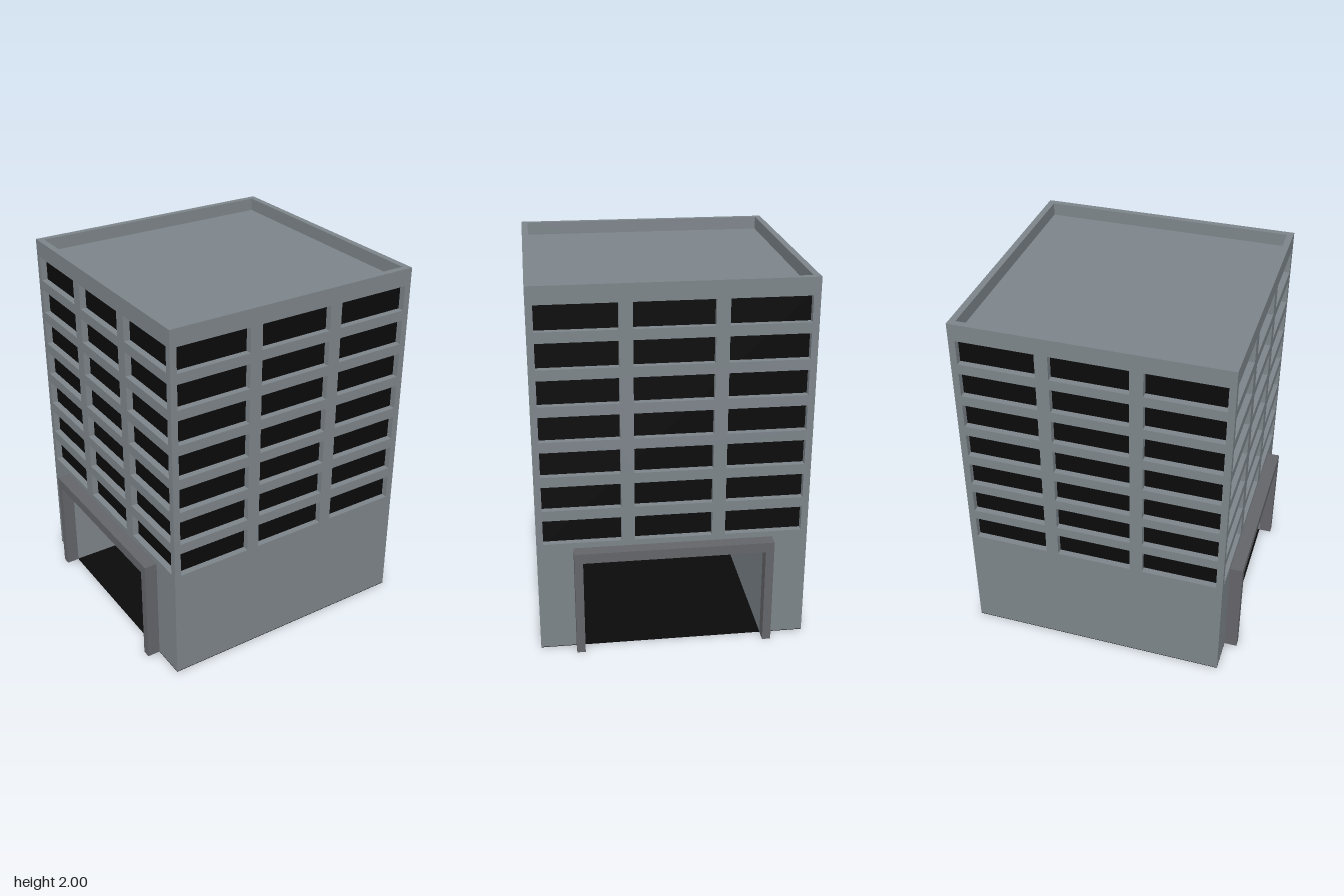
import * as THREE from 'three';

const HALF = 0.715;   // half width of the tower
const INNER = 0.68;   // inside face of the outer walls
const BASE_TOP = 0.6;
const TOP = 2;

const wallMat = new THREE.MeshStandardMaterial({ color: 0x7d858a });
const frameMat = new THREE.MeshStandardMaterial({ color: 0x646569 });
const darkMat = new THREE.MeshStandardMaterial({ color: 0x0a0a0a });

function add(parent, name, geometry, material, x = 0, y = 0, z = 0) {
  const mesh = new THREE.Mesh(geometry, material);
  mesh.name = name;
  mesh.position.set(x, y, z);
  parent.add(mesh);
  return mesh;
}

function extrude(shape, depth) {
  return new THREE.ExtrudeGeometry(shape, { depth, bevelEnabled: false });
}

// Upper wall with seven rows of three windows
function facadeShape(halfWidth) {
  const shape = new THREE.Shape([
    new THREE.Vector2(-halfWidth, BASE_TOP), new THREE.Vector2(halfWidth, BASE_TOP),
    new THREE.Vector2(halfWidth, TOP), new THREE.Vector2(-halfWidth, TOP),
  ]);
  for (let row = 0; row < 7; row++) {
    const y0 = 0.626 + row * 0.191, y1 = y0 + 0.135;
    for (const [x0, x1] of [[-0.679, -0.272], [-0.203, 0.203], [0.272, 0.679]]) {
      shape.holes.push(new THREE.Path([
        new THREE.Vector2(x0, y0), new THREE.Vector2(x0, y1),
        new THREE.Vector2(x1, y1), new THREE.Vector2(x1, y0),
      ]));
    }
  }
  return shape;
}

// Upside-down U outline standing on y = bottom
function archShape(outer, outerTop, inner, innerTop, bottom = 0) {
  return new THREE.Shape([
    [-outer, bottom], [-inner, bottom], [-inner, innerTop], [inner, innerTop],
    [inner, bottom], [outer, bottom], [outer, outerTop], [-outer, outerTop],
  ].map(([x, y]) => new THREE.Vector2(x, y)));
}

export function createModel() {
  const model = new THREE.Group();
  model.name = 'officeTower';

  // Ground floor with a passage running from side to side
  const base = add(model, 'groundFloor',
    extrude(archShape(HALF, BASE_TOP, 0.48, 0.54, 0.003), 2 * HALF), wallMat, -HALF);
  base.rotation.y = Math.PI / 2;
  add(model, 'passageFloor', new THREE.BoxGeometry(2 * HALF, 0.003, 2 * HALF), darkMat, 0, 0.0015, 0);

  // Four window walls; the side walls fit between the front and back ones
  const names = ['frontWall', 'leftWall', 'backWall', 'rightWall'];
  names.forEach((name, i) => {
    const wall = new THREE.Group();
    wall.name = name;
    wall.rotation.y = i * Math.PI / 2;
    add(wall, name + 'Panel', extrude(facadeShape(i % 2 ? INNER : HALF), HALF - INNER), wallMat, 0, 0, INNER);
    model.add(wall);
  });

  // Dark glazing core behind the openings, and the sunken roof
  add(model, 'glazing', new THREE.BoxGeometry(2 * INNER, 1.31, 2 * INNER), darkMat, 0, 1.255, 0);
  add(model, 'roof', new THREE.BoxGeometry(2 * INNER, 0.02, 2 * INNER), wallMat, 0, 1.92, 0);

  // Portal frames around both passage mouths
  for (const [name, x] of [['rightPortal', -0.785], ['leftPortal', HALF]]) {
    const portal = add(model, name, extrude(archShape(0.525, 0.595, 0.48, 0.54), 0.07), frameMat, x);
    portal.rotation.y = Math.PI / 2;
  }

  return model;
}
